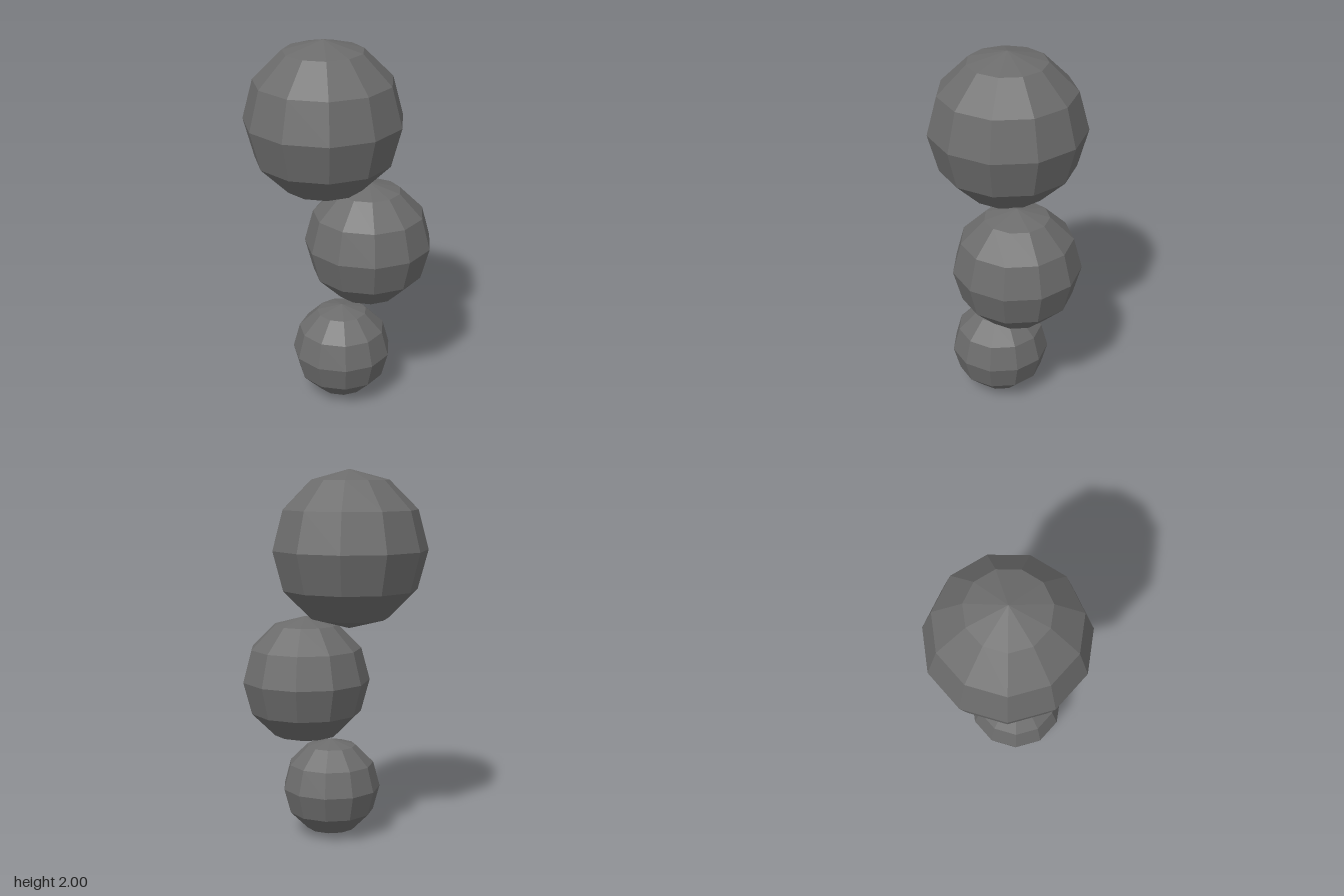
import * as THREE from 'three';

export function createModel() {
  const model = new THREE.Group();
  const stone = new THREE.MeshStandardMaterial({ color: 0x6c6c6c, flatShading: true });
  stone.name = 'grey stone';

  // Faceted ball with eleven sides and a corner pointing to +x
  function addBall(name, radius, x, y, z) {
    const geometry = new THREE.SphereGeometry(radius, 11, 6, Math.PI);
    const ball = new THREE.Mesh(geometry, stone);
    ball.name = name;
    ball.position.set(x, y, z);
    model.add(ball);
  }

  // Stack of three balls growing towards the top
  addBall('lowerBall', 0.268, -0.01, 0.272, 0.078);
  addBall('middleBall', 0.343, 0.145, 0.888, 0.038);
  addBall('upperBall', 0.42, -0.087, 1.58, 0);

  return model;
}
